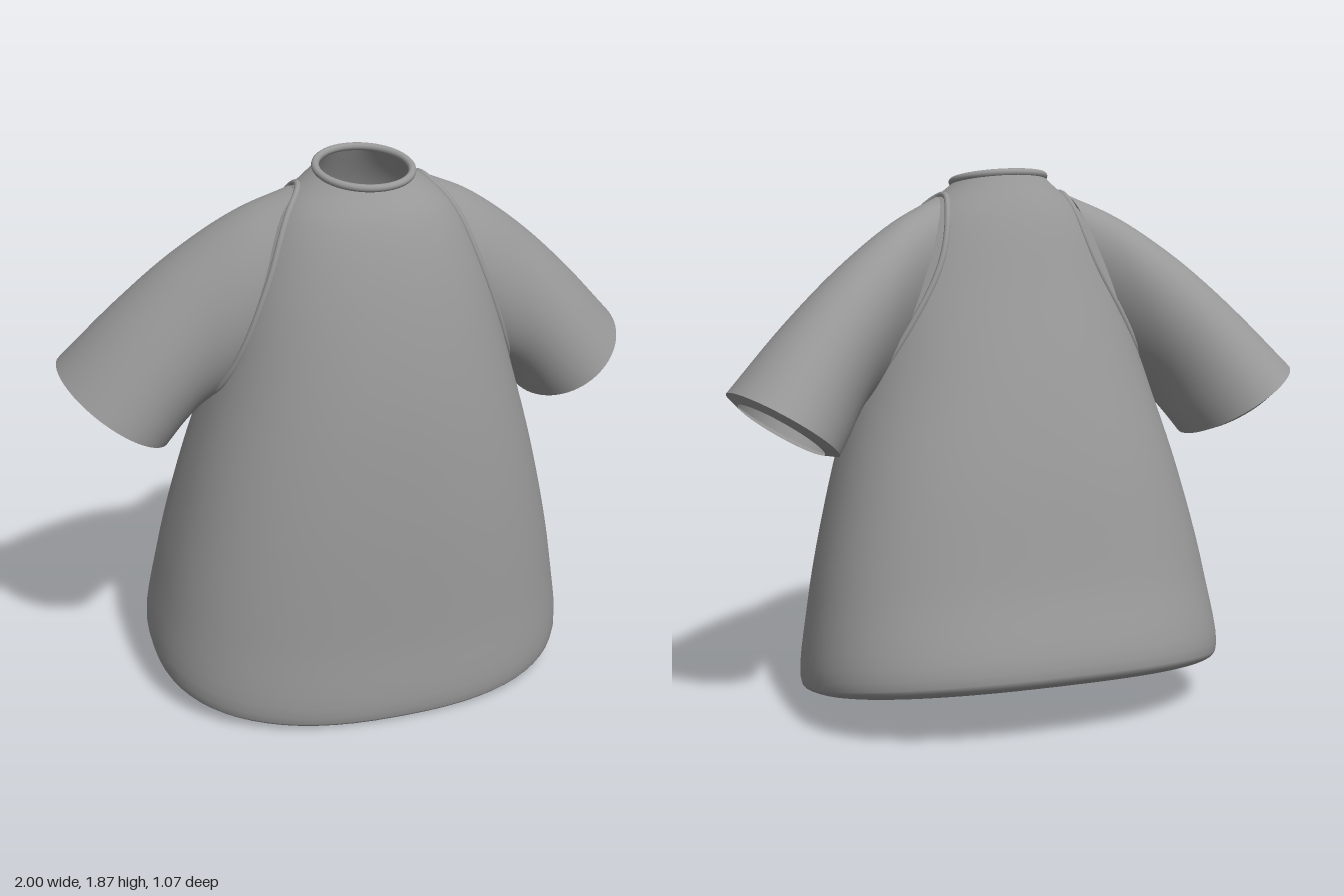
import * as THREE from 'three';

const SIDES = 72;
const STEPS = 6; // rows between neighbouring cross-sections
const material = new THREE.MeshStandardMaterial({ color: 0x999999, side: THREE.DoubleSide });

// Smooth closed skin through cross-sections; point(section, angle) gives a Vector3.
function loft(sections, point, steps = STEPS) {
  const rows = (sections.length - 1) * steps;
  const pos = [], index = [];
  for (let i = 0; i < SIDES; i++) {
    const a = (i / SIDES) * Math.PI * 2;
    const curve = new THREE.CatmullRomCurve3(sections.map((s) => point(s, a)));
    for (let j = 0; j <= rows; j++) pos.push(...curve.getPoint(j / rows).toArray());
  }
  for (let i = 0; i < SIDES; i++) {
    for (let j = 0; j < rows; j++) {
      const p = i * (rows + 1) + j, q = ((i + 1) % SIDES) * (rows + 1) + j;
      index.push(p, p + 1, q, q, p + 1, q + 1);
    }
  }
  const geo = new THREE.BufferGeometry();
  geo.setAttribute('position', new THREE.Float32BufferAttribute(pos, 3));
  geo.setIndex(index);
  geo.computeVertexNormals();
  return geo;
}

function part(name, geo) {
  const mesh = new THREE.Mesh(geo, material);
  mesh.name = name;
  return mesh;
}

// Body rings: front z, front y, back z, back y, half width, squareness (2 = ellipse).
// The first two close the sloping underside.
const BODY = [
  [0.005, 0.107, 0.005, 0.107, 0.001, 2.4],
  [0.42, 0.026, -0.42, 0.189, 0.59, 2.4],
  [0.51, 0.008, -0.5, 0.205, 0.7, 2.4],
  [0.53, 0.022, -0.535, 0.245, 0.735, 2.4],
  [0.526, 0.3, -0.465, 0.53, 0.705, 2.4],
  [0.515, 0.75, -0.39, 0.87, 0.617, 2.3],
  [0.48, 1.15, -0.305, 1.17, 0.515, 2.15],
  [0.41, 1.5, -0.2, 1.48, 0.415, 2.05],
  [0.34, 1.7, -0.115, 1.72, 0.302, 2],
  [0.277, 1.8, -0.045, 1.86, 0.16, 2],
];
function bodyPoint([zf, yf, zb, yb, w, n], a) {
  const power = (v) => Math.sign(v) * Math.abs(v) ** (2 / n);
  const t = (1 + power(Math.sin(a))) / 2;
  return new THREE.Vector3(w * power(Math.cos(a)), yb + (yf - yb) * t, zb + (zf - zb) * t);
}

// Sleeve rings: top x, top y, bottom x, bottom y, centre z, half depth, tilt
const SLEEVE = [
  [0.235, 1.783, 0.48, 1.12, 0.077, 0.16, 0],
  [0.4, 1.705, 0.535, 1.08, 0.037, 0.187, 0.05],
  [0.6, 1.565, 0.57, 1.04, -0.005, 0.205, 0.1],
  [0.8, 1.385, 0.6, 1.0, -0.04, 0.23, 0.13],
  [1.0, 1.175, 0.645, 0.94, -0.075, 0.265, 0.15],
];
// Flat hem turned in around the sleeve opening
const CUFF = [SLEEVE[4], [0.965, 1.135, 0.695, 0.95, -0.08, 0.212, 0.15]];
const sleevePoint = (side) => ([xt, yt, xb, yb, zc, d, tilt], a) => {
  const t = (1 + Math.cos(a)) / 2, dz = -side * d * Math.sin(a);
  return new THREE.Vector3(side * (xb + (xt - xb) * t), yb + (yt - yb) * t - tilt * dz, zc + dz);
};

// Piping around the armhole, laid on the body surface
function seamGeometry(body, side) {
  const ray = new THREE.Raycaster();
  const pts = [];
  for (let i = 0; i < 40; i++) {
    const a = (i / 40) * Math.PI * 2;
    const y = 1.45 + 0.34 * Math.cos(a), z = 0.075 + 0.17 * Math.sin(a);
    ray.set(new THREE.Vector3(2 * side, y, z), new THREE.Vector3(-side, 0, 0));
    const hit = ray.intersectObject(body)[0];
    if (hit) pts.push(hit.point);
  }
  return new THREE.TubeGeometry(new THREE.CatmullRomCurve3(pts, true), 100, 0.011, 8, true);
}

export function createModel() {
  const model = new THREE.Group();
  model.name = 'garment';

  const body = part('body', loft(BODY, bodyPoint));
  model.add(body);

  // Neck band
  const collar = part('collar', new THREE.TorusGeometry(0.158, 0.013, 12, 64));
  collar.rotation.x = Math.PI / 2 + 0.19;
  collar.position.set(0, 1.837, 0.118);
  model.add(collar);

  for (const [side, label] of [[1, 'left'], [-1, 'right']]) {
    model.add(part(label + 'Sleeve', loft(SLEEVE, sleevePoint(side))));
    model.add(part(label + 'Cuff', loft(CUFF, sleevePoint(side), 1)));
    model.add(part(label + 'ArmholeSeam', seamGeometry(body, side)));
  }
  return model;
}
